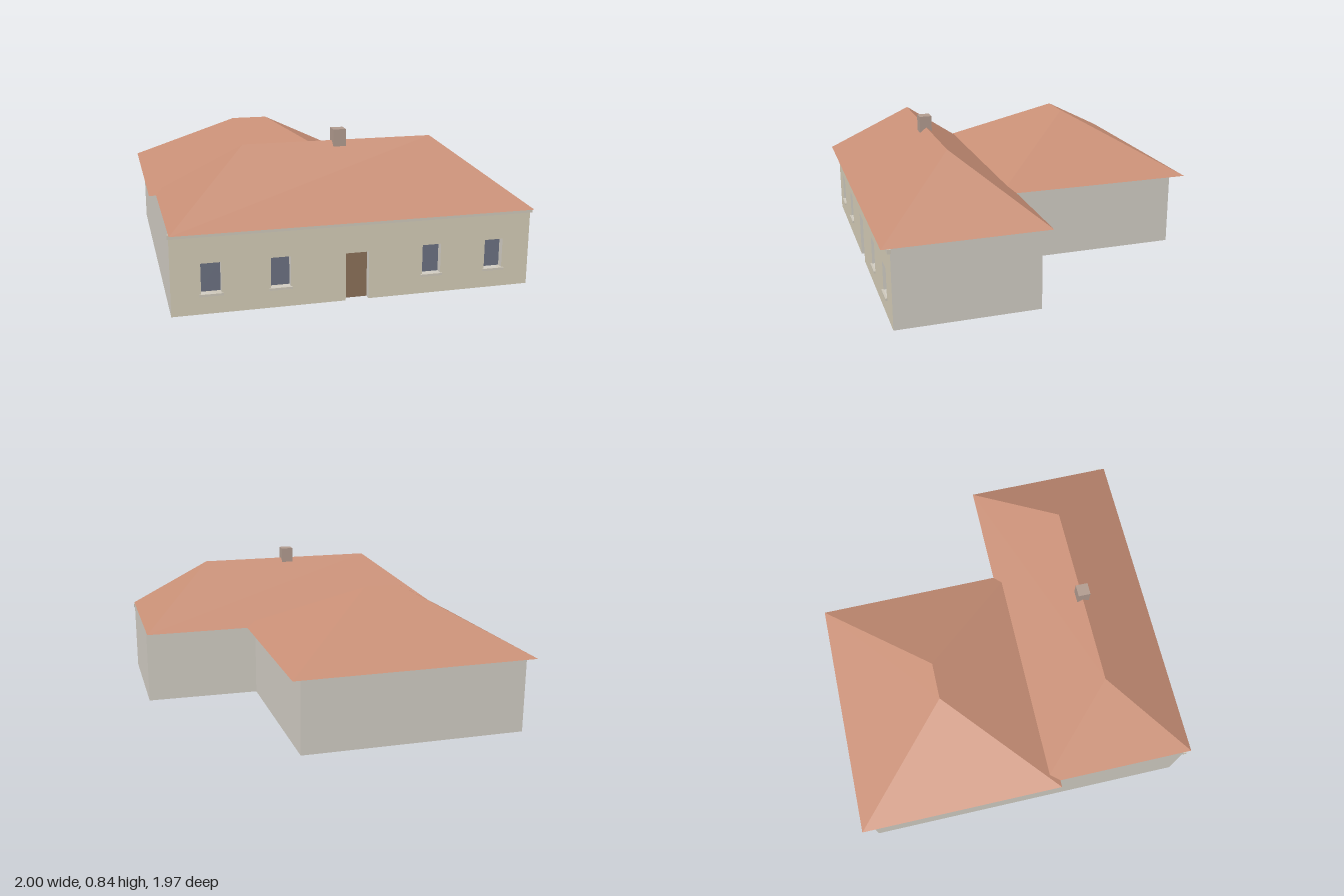
import * as THREE from 'three';

const material = (color) => new THREE.MeshStandardMaterial({ color });
const paint = {
  roof: material(0xc88f76),
  plaster: material(0xcfcbc2),
  facade: material(0xd2cab5),
  trim: material(0xccc6b8),
  door: material(0x8a7058),
  glass: material(0x6a7080),
  chimney: material(0xb09a8e),
};

const EAVE = 0.435; // wall height
const FRONT = 0.935; // z of the facade
const RECESS = 0.04; // depth of door and window reveals

function mesh(name, geometry, mat) {
  const m = new THREE.Mesh(geometry, mat);
  m.name = name;
  return m;
}

// Box given by its lowest and highest corners
function block(name, [x0, y0, z0], [x1, y1, z1], mat) {
  const m = mesh(name, new THREE.BoxGeometry(x1 - x0, y1 - y0, z1 - z0), mat);
  m.position.set((x0 + x1) / 2, (y0 + y1) / 2, (z0 + z1) / 2);
  return m;
}

// Hip roof: rectangular eaves, ridge along x, flat soffit below
function hipRoof(name, [x0, x1], [z0, z1], [r0, r1], ridgeY) {
  const rz = (z0 + z1) / 2;
  const geometry = new THREE.BufferGeometry();
  geometry.setAttribute('position', new THREE.Float32BufferAttribute([
    x0, EAVE, z1, x1, EAVE, z1, x1, EAVE, z0, x0, EAVE, z0,
    r0, ridgeY, rz, r1, ridgeY, rz,
  ], 3));
  geometry.setIndex([
    0, 1, 5, 0, 5, 4, // front slope
    1, 2, 5, // right-hand hip
    2, 3, 4, 2, 4, 5, // back slope
    3, 0, 4, // left-hand hip
    0, 3, 2, 0, 2, 1, // soffit
  ]);
  const flat = geometry.toNonIndexed();
  flat.computeVertexNormals();
  return mesh(name, flat, paint.roof);
}

const polygon = (points) => new THREE.Shape(points.map(([x, y]) => new THREE.Vector2(x, y)));

export function createModel() {
  const house = new THREE.Group();
  house.name = 'house';

  // L-shaped body; its back walls run very slightly askew
  const footprint = [
    [-0.96, FRONT - RECESS], [0.99, FRONT - RECESS], [0.99, 0.152],
    [0.32, 0.137], [0.32, -0.92], [-0.96, -0.94],
  ].map(([x, z]) => [x, -z]);
  const body = mesh('walls',
    new THREE.ExtrudeGeometry(polygon(footprint), { depth: EAVE, bevelEnabled: false }), paint.plaster);
  body.rotation.x = -Math.PI / 2;
  house.add(body);

  // Facade slab with a doorway notch and window openings
  const door = { x0: -0.05, x1: 0.075, top: 0.26 };
  const windows = [-0.755, -0.397, 0.425, 0.783];
  const halfWidth = 0.052, sillTop = 0.108, windowTop = 0.27;
  const facadeShape = polygon([
    [-0.96, 0], [door.x0, 0], [door.x0, door.top], [door.x1, door.top], [door.x1, 0],
    [0.99, 0], [0.99, EAVE], [-0.96, EAVE],
  ]);
  for (const x of windows) {
    facadeShape.holes.push(new THREE.Path([
      [x - halfWidth, sillTop], [x - halfWidth, windowTop],
      [x + halfWidth, windowTop], [x + halfWidth, sillTop],
    ].map(([px, py]) => new THREE.Vector2(px, py))));
  }
  const facade = mesh('facade',
    new THREE.ExtrudeGeometry(facadeShape, { depth: RECESS, bevelEnabled: false }),
    [paint.facade, paint.plaster]);
  facade.position.z = FRONT - RECESS;
  house.add(facade);

  // Door and windows set back in their openings
  const back = FRONT - RECESS - 0.005, pane = FRONT - RECESS + 0.004;
  house.add(block('door', [door.x0, 0, back], [door.x1, door.top, pane], paint.door));
  for (const x of windows) {
    house.add(block('windowPane', [x - halfWidth, sillTop, back], [x + halfWidth, windowTop, pane], paint.glass));
    house.add(block('windowSill', [x - 0.061, 0.096, back], [x + 0.061, sillTop, 0.945], paint.trim));
  }

  // Cornice under the front eaves
  house.add(block('cornice', [-0.967, 0.411, 0.93], [0.996, EAVE - 0.001, 0.95], paint.trim));

  // Two hip roofs that cross over the inner corner
  house.add(hipRoof('mainRoof', [-0.96, 0.99], [0.09, 0.98], [-0.515, 0.55], 0.78));
  house.add(hipRoof('wingRoof', [-1, 0.38], [-0.988, 0.186], [-0.415, -0.205], 0.76));

  house.add(block('chimney', [-0.02, 0.7, 0.503], [0.05, 0.845, 0.573], paint.chimney));
  return house;
}
